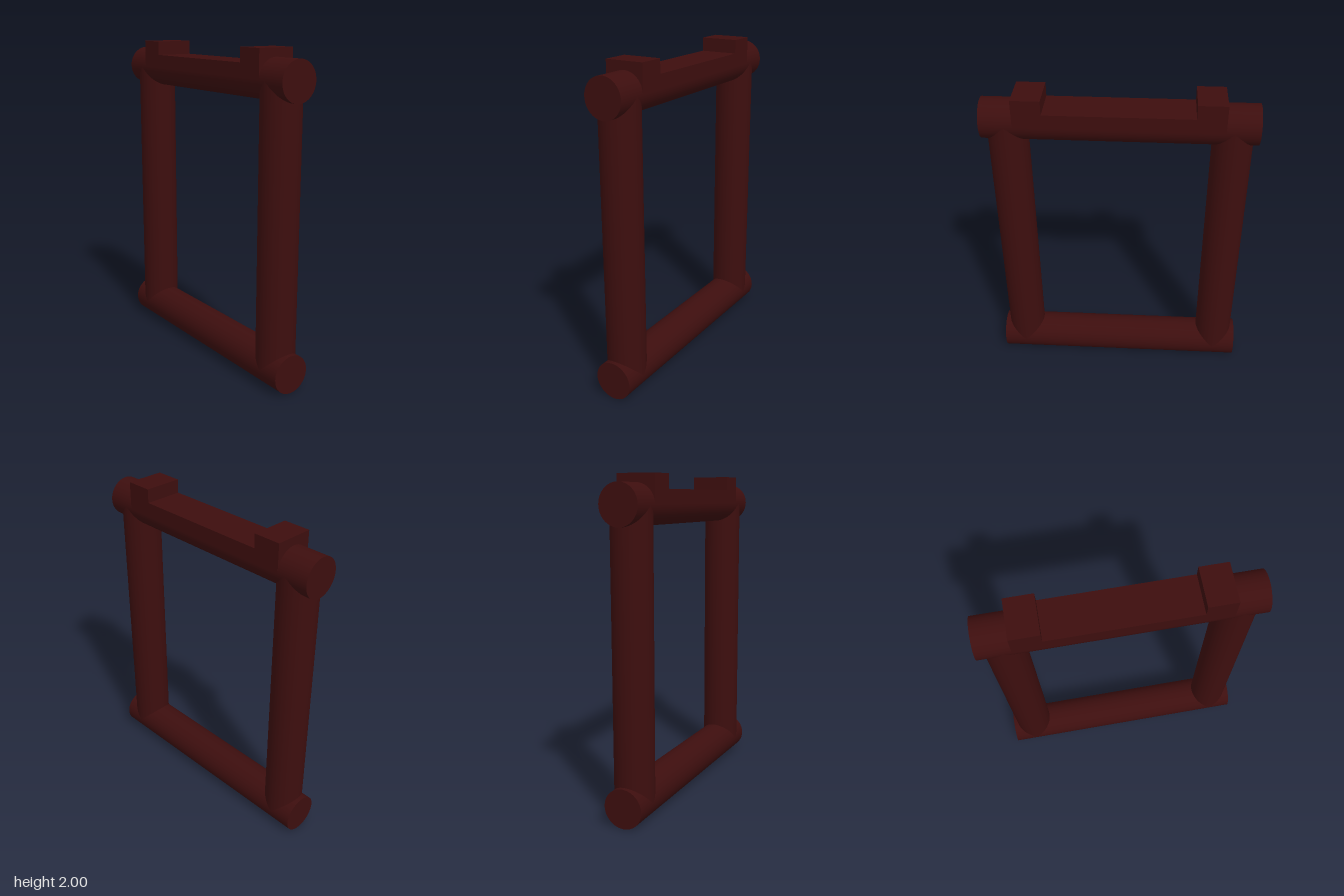
import * as THREE from 'three';

const R = 0.12;          // log radius
const TOP = 1.83;        // axis height of the top log
const SIDES = 32;

export function createModel() {
  const group = new THREE.Group();
  const material = new THREE.MeshStandardMaterial({ color: 0x3d0e0e });

  const add = (name, geometry, x, y, z) => {
    const mesh = new THREE.Mesh(geometry, material);
    mesh.name = name;
    mesh.position.set(x, y, z);
    group.add(mesh);
  };
  // log lying along z, optionally only a part of its round
  const log = (length, start = 0, sweep = Math.PI * 2) =>
    new THREE.CylinderGeometry(R, R, length, SIDES, 1, false, start, sweep).rotateX(Math.PI / 2);

  add('bottomLog', log(1.6), 0, R, 0);

  // top log: round below, squared off between its two round ends
  add('topLogUnderside', log(1.6, -Math.PI / 2, Math.PI), 0, TOP, 0);
  add('topLogFlat', new THREE.BoxGeometry(2 * R, 0.085, 0.87), 0, TOP + 0.0425, 0);

  for (const [end, s] of [['front', 1], ['back', -1]]) {
    add(end + 'Post', new THREE.CylinderGeometry(R, R, TOP - R, SIDES, 1, true), 0, (TOP + R) / 2, s * 0.655);
    add(end + 'Block', new THREE.BoxGeometry(2 * R, 2 - TOP, 0.17), 0, (2 + TOP) / 2, s * 0.52);
    add(end + 'LogEnd', log(0.195, Math.PI / 2, Math.PI), 0, TOP, s * 0.7025);
  }
  return group;
}
